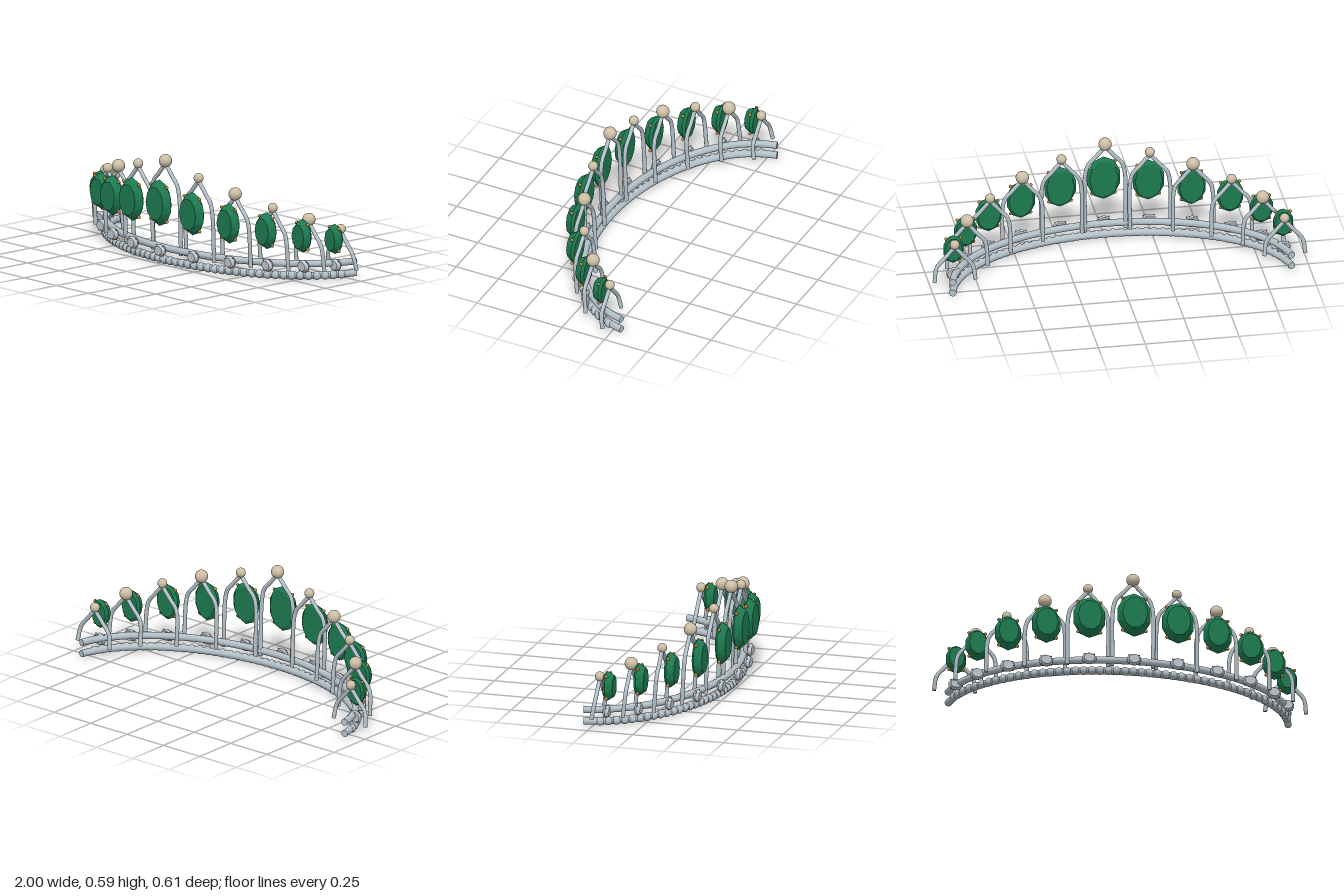
import * as THREE from 'three';

const mat = (name, color) => Object.assign(new THREE.MeshStandardMaterial({ color }), { name });

export function createModel() {
  const silver = mat('silver', 0xb3c0c8);
  const pearl = mat('pearl', 0xcdbfa5);
  const gold = mat('gold', 0xbf8a3c);
  const green = mat('green stone', 0x1c7a50);
  const clear = mat('clear stone', 0xbcc4cd);
  green.flatShading = clear.flatShading = true;

  const tiara = new THREE.Group();
  tiara.name = 'tiara';

  const add = (parent, name, geometry, material, x = 0, y = 0, z = 0) => {
    const mesh = new THREE.Mesh(geometry, material);
    mesh.name = name;
    mesh.position.set(x, y, z);
    parent.add(mesh);
    return mesh;
  };

  // Half-ellipse followed by the whole band, measured from the front centre
  const band = (t, y = 0) => new THREE.Vector3(0.91 * Math.sin(t), y, -0.375 + 0.6 * Math.cos(t));

  // Round rod along a curve, closed with a disc at each end
  const rod = (parent, name, curve, r, segments) => {
    add(parent, name, new THREE.TubeGeometry(curve, segments, r, 12), silver);
    for (const [u, sign] of [[0, -1], [1, 1]]) {
      const p = curve.getPointAt(u);
      const cap = add(parent, name + 'End', new THREE.CircleGeometry(r, 12), silver, p.x, p.y, p.z);
      cap.lookAt(p.clone().addScaledVector(curve.getTangentAt(u), sign));
    }
  };

  // Faceted oval stone: flat table, girdle and a shallow back
  const stone = (w, h, front, girdle, back) => {
    const n = 10, pos = [], index = [];
    const rings = [[0, back, 0], [0.84, back, 0.5], [1, girdle, 0], [0.73, front, 0.5], [0, front, 0]];
    for (const [s, z, shift] of rings) {
      for (let i = 0; i < n; i++) {
        const a = Math.PI / 2 + ((i + shift) / n) * Math.PI * 2;
        pos.push(w * s * Math.cos(a), h * s * Math.sin(a), z);
      }
    }
    for (let r = 0; r < rings.length - 1; r++) {
      const lag = rings[r][2] > 0;
      for (let i = 0; i < n; i++) {
        const j = (i + 1) % n;
        const a = r * n + i, b = r * n + j, c = a + n, d = b + n;
        if (lag) index.push(a, b, d, a, d, c);
        else index.push(a, b, c, b, d, c);
      }
    }
    const g = new THREE.BufferGeometry();
    g.setAttribute('position', new THREE.Float32BufferAttribute(pos, 3));
    g.setIndex(index);
    g.computeVertexNormals();
    return g;
  };

  // Stone with four small prongs holding its corners
  const setting = (name, x, y, z, w, h, depths, material, prongR) => {
    const group = new THREE.Group();
    group.name = name;
    group.position.set(x, y, z);
    add(group, 'stone', stone(w, h, ...depths), material);
    for (const sx of [-1, 1]) {
      for (const sy of [-1, 1]) {
        add(group, 'prong', new THREE.SphereGeometry(prongR, 10, 8), gold,
          sx * 0.68 * w, sy * 0.74 * h, depths[1] + prongR * 0.6);
      }
    }
    tiara.add(group);
  };

  // Two parallel rails
  const end = THREE.MathUtils.degToRad(83);
  const railCurve = (y) => new THREE.CatmullRomCurve3(
    Array.from({ length: 41 }, (_, i) => band(-end + (i / 40) * 2 * end, y)));
  rod(tiara, 'upperRail', railCurve(0.087), 0.019, 96);
  const lower = railCurve(0.024);
  rod(tiara, 'lowerRail', lower, 0.019, 96);

  // Beading along the lower rail
  const beads = Math.round(lower.getLength() / 0.043);
  const bead = new THREE.SphereGeometry(0.023, 14, 10);
  for (let i = 1; i < beads; i++) {
    const p = lower.getPointAt(i / beads);
    if (p.z < -0.25) continue;
    const out = new THREE.Vector3(p.x / 0.83, 0, (p.z + 0.375) / 0.36).normalize();
    p.addScaledVector(out, 0.005);
    add(tiara, 'bead', bead, silver, p.x, p.y, p.z);
  }

  // Stations outward from the centre: pearl height, pearl radius, stone height, half width, half height
  const stations = [
    [0.555, 0.035, 0.335, 0.092, 0.125],
    [0.498, 0.026, 0.313, 0.088, 0.117],
    [0.44, 0.035, 0.288, 0.079, 0.108],
    [0.382, 0.026, 0.266, 0.073, 0.099],
    [0.325, 0.035, 0.243, 0.064, 0.09],
    [0.267, 0.026, 0.22, 0.056, 0.081],
  ];
  stations.forEach(([top, pearlR, gemY, w, h], i) => {
    for (const side of i ? [-1, 1] : [1]) {
      const { x, z } = band(side * i * Math.PI / 12);

      // Pointed arch made of two mirrored legs
      for (const s of [-1, 1]) {
        const leg = new THREE.CatmullRomCurve3([
          [0, top - 0.015, 0],
          [0.052, top - 0.075, 0],
          [0.096, top - 0.13, 0],
          [0.109, 0.06, -0.012],
        ].map(([px, py, pz]) => new THREE.Vector3(x + s * px, py, z + pz)));
        rod(tiara, 'archLeg', leg, 0.011, 28);
      }
      add(tiara, 'pearl', new THREE.SphereGeometry(pearlR, 24, 16), pearl, x, top, z);

      // Large stone in the arch, small one on the rail
      setting('archStone', x, gemY, z, w, h, [0.08, 0.042, 0.028], green, 0.009);
      setting('railStone', x, 0.079, z, 0.04, 0.034, [0.055, 0.038, 0.026], clear, 0.004);
    }
  });

  return tiara;
}
